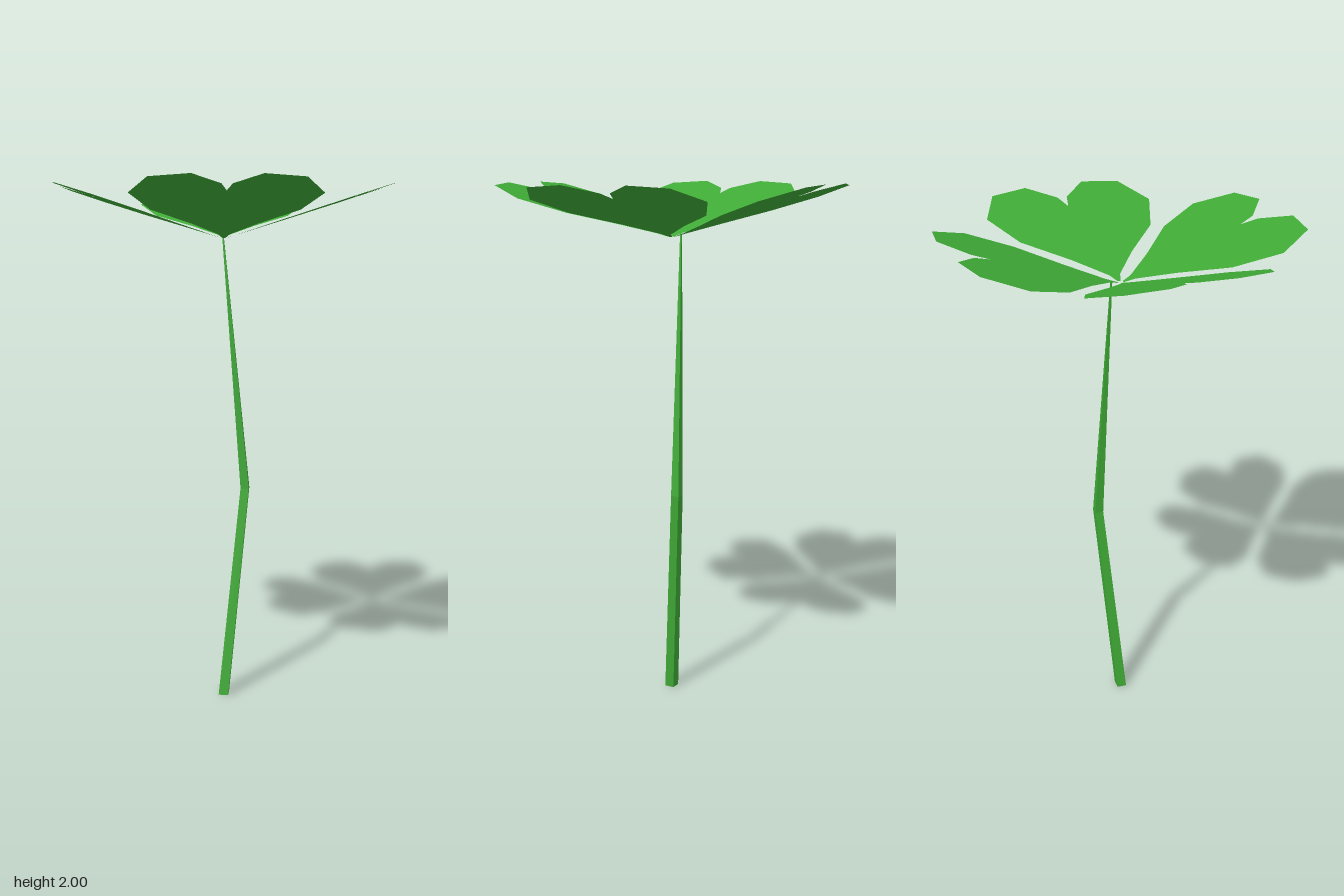
import * as THREE from 'three';

// Half of a heart-shaped leaflet, from its base to the notch
const HALF_LEAF = [
  [0.004, 0.012], [0.02, 0.05], [0.03, 0.2], [0.027, 0.4], [0.09, 0.562],
  [0.24, 0.61], [0.36, 0.528], [0.37, 0.397], [0.34, 0.34],
];

// Flat leaflet rising evenly away from the centre
function leafGeometry() {
  const mirrored = HALF_LEAF.slice(0, -1).reverse().map(([a, b]) => [b, a]);
  const outline = [...HALF_LEAF, ...mirrored].map(([a, b]) => new THREE.Vector2(a, b));
  const geometry = new THREE.ShapeGeometry(new THREE.Shape(outline));
  const pos = geometry.attributes.position;
  for (let i = 0; i < pos.count; i++) {
    const a = pos.getX(i), b = pos.getY(i);
    pos.setXYZ(i, b, 1.8 + 0.225 * (a + b), a);
  }
  geometry.computeVertexNormals();
  return geometry;
}

// Four-sided tapering stem with one bend
function stemGeometry() {
  const rings = [
    { x: 0, y: 0, z: 0, r: 0.027 },
    { x: 0.018, y: 0.83, z: -0.102, r: 0.023 },
    { x: -0.028, y: 1.815, z: -0.024, r: 0.004 },
  ];
  const geometry = new THREE.CylinderGeometry(1, 1, 2, 4, 2);
  geometry.rotateY(-0.12);
  const pos = geometry.attributes.position;
  for (let i = 0; i < pos.count; i++) {
    const ring = rings[Math.round(pos.getY(i)) + 1];
    pos.setXYZ(i, ring.x + ring.r * pos.getX(i), ring.y, ring.z + ring.r * pos.getZ(i));
  }
  geometry.computeVertexNormals();
  return geometry;
}

export function createModel() {
  const model = new THREE.Group();
  model.name = 'fourLeafClover';
  const green = new THREE.MeshStandardMaterial({
    name: 'cloverGreen', color: 0x3faa36, flatShading: true, side: THREE.DoubleSide,
  });

  const stem = new THREE.Mesh(stemGeometry(), green);
  stem.name = 'stem';
  model.add(stem);

  const leaf = leafGeometry();
  ['leafFrontLeft', 'leafBackLeft', 'leafBackRight', 'leafFrontRight'].forEach((name, i) => {
    const mesh = new THREE.Mesh(leaf, green);
    mesh.name = name;
    mesh.rotation.y = i * Math.PI / 2;
    model.add(mesh);
  });
  return model;
}
